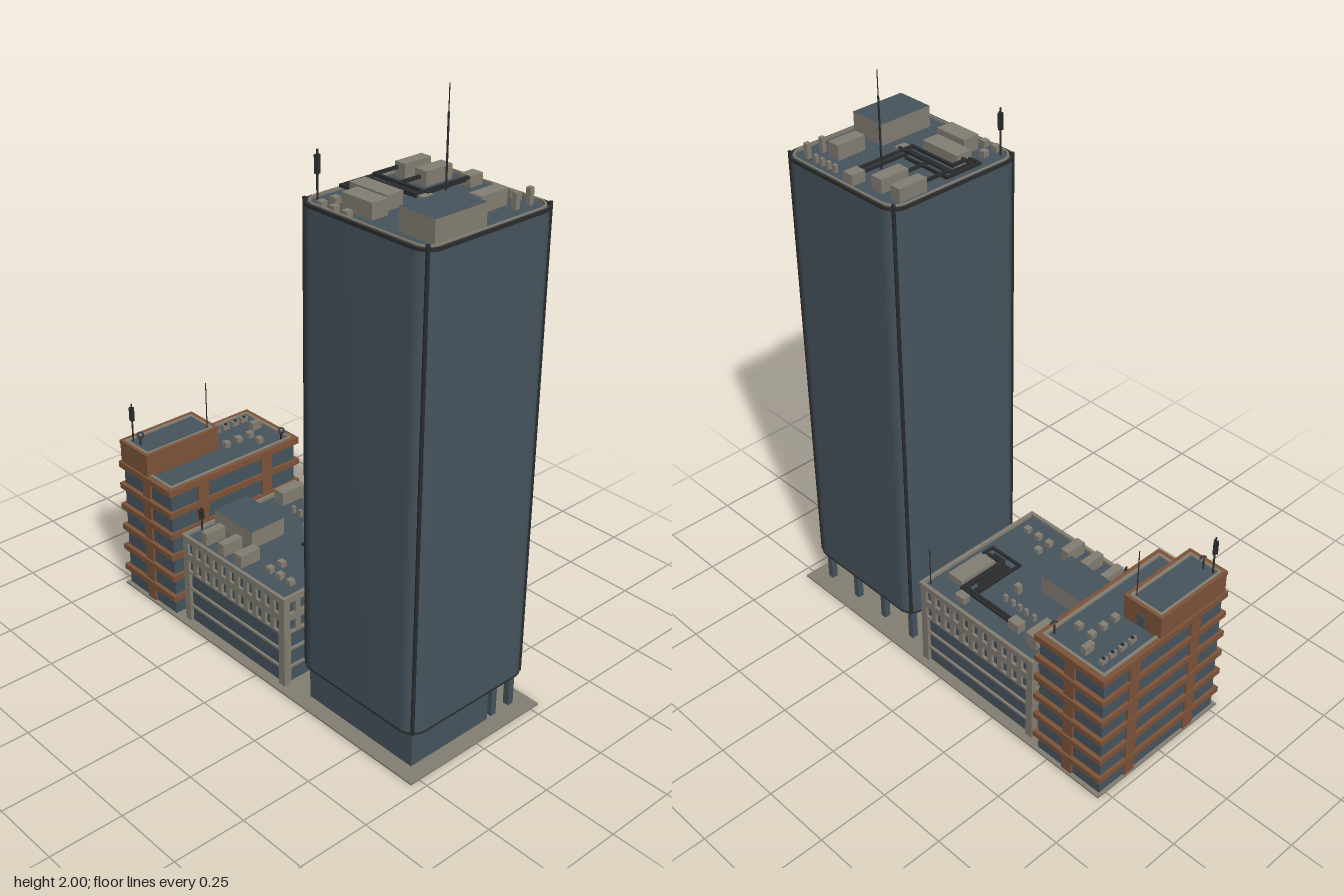
import * as THREE from 'three';
import { toCreasedNormals } from 'three/addons/utils/BufferGeometryUtils.js';

const mat = (name, color) => new THREE.MeshStandardMaterial({ name, color });

export function createModel() {
  const glass = mat('blue grey glass', 0x46545d);
  const stone = mat('grey concrete', 0x837e73);
  const brick = mat('brown brick', 0x7d5339);
  const dark = mat('dark metal', 0x2a2c2e);
  const model = new THREE.Group();
  model.name = 'cityBlock';

  const group = (name) => {
    const g = new THREE.Group();
    g.name = name;
    model.add(g);
    return g;
  };
  const add = (parent, name, geometry, material) => {
    const m = new THREE.Mesh(geometry, material);
    m.name = name;
    parent.add(m);
    return m;
  };
  // Box given by its limits; an optional second material covers the top
  const box = (parent, name, material, x0, x1, y0, y1, z0, z1, top) => {
    const mats = top ? [material, material, top, material, material, material] : material;
    const m = add(parent, name, new THREE.BoxGeometry(x1 - x0, y1 - y0, z1 - z0), mats);
    m.position.set((x0 + x1) / 2, (y0 + y1) / 2, (z0 + z1) / 2);
    return m;
  };
  const rod = (parent, name, material, r, x, y0, y1, z, sides = 8) => {
    const m = add(parent, name, new THREE.CylinderGeometry(r, r, y1 - y0, sides), material);
    m.position.set(x, (y0 + y1) / 2, z);
    return m;
  };
  // Square rim running around a roof
  const rim = (parent, name, material, x0, x1, y0, y1, z0, z1, t) => {
    box(parent, name, material, x0, x1, y0, y1, z0, z0 + t);
    box(parent, name, material, x0, x1, y0, y1, z1 - t, z1);
    box(parent, name, material, x0, x0 + t, y0, y1, z0 + t, z1 - t);
    box(parent, name, material, x1 - t, x1, y0, y1, z0 + t, z1 - t);
  };
  // Duct made of straight runs between [x, z] points
  const duct = (parent, y, points, w = 0.009) => {
    for (let i = 1; i < points.length; i++) {
      const [a, b] = points[i - 1], [c, d] = points[i], h = w / 2;
      box(parent, 'roofDuct', dark, Math.min(a, c) - h, Math.max(a, c) + h, y, y + w,
        Math.min(b, d) - h, Math.max(b, d) + h);
    }
  };
  // Roof machines: rows of [x0, x1, z0, z1, height]
  const units = (parent, y, rows) => rows.forEach(([x0, x1, z0, z1, h]) =>
    box(parent, 'roofUnit', stone, x0, x1, y, y + h, z0, z1));
  const vents = (parent, y, points, s = 0.011, h = 0.02) => points.forEach(([x, z]) =>
    box(parent, 'roofVent', stone, x - s, x + s, y, y + h, z - s, z + s));
  // Mast with a cluster of aerial panels near its tip
  const panelMast = (parent, x, y0, y1, z) => {
    rod(parent, 'aerialMast', dark, 0.003, x, y0, y1, z);
    const h = y1 - y0;
    for (let i = 0; i < 3; i++) {
      const a = i * Math.PI * 2 / 3;
      rod(parent, 'aerialPanel', dark, 0.004, x + 0.006 * Math.cos(a), y0 + h * 0.55, y0 + h * 0.9, z + 0.006 * Math.sin(a), 6);
    }
  };
  const dish = (parent, x, y, z) => {
    rod(parent, 'dishStand', dark, 0.003, x, y, y + 0.035, z);
    const d = add(parent, 'dish', new THREE.SphereGeometry(0.014, 12, 6, 0, Math.PI * 2, 0, 1.2), dark.clone());
    d.material = dishMat;
    d.position.set(x, y + 0.035, z);
    d.rotation.set(0.9, 0, 0.3);
  };
  const dishMat = mat('dish grey', 0x3a3c3e);
  dishMat.side = THREE.DoubleSide;

  // Rounded square outline
  const outline = (h, r, Type = THREE.Shape) => {
    const s = new Type();
    s.moveTo(h, -h + r);
    s.lineTo(h, h - r);
    s.absarc(h - r, h - r, r, 0, Math.PI / 2);
    s.absarc(-h + r, h - r, r, Math.PI / 2, Math.PI);
    s.absarc(-h + r, -h + r, r, Math.PI, Math.PI * 1.5);
    s.absarc(h - r, -h + r, r, Math.PI * 1.5, Math.PI * 2);
    return s;
  };
  const slab = (shape, height) => {
    const g = new THREE.ExtrudeGeometry(shape, { depth: height, bevelEnabled: false, curveSegments: 8 });
    return toCreasedNormals(g.rotateX(-Math.PI / 2), 0.5);
  };

  // Ground
  box(group('ground'), 'pavement', stone, -0.285, 0.285, 0, 0.006, -0.722, 0.718);

  // Tower
  const tower = group('tower'), tz = 0.433;
  add(tower, 'towerShaft', slab(outline(0.252, 0.055), 1.55), glass).position.set(0, 0.135, tz);
  const ring = (h, t, y, height, material) => {
    const s = outline(h, 0.055);
    s.holes.push(outline(h - t, 0.055 - t, THREE.Path));
    add(tower, 'roofRim', slab(s, height), material).position.set(0, y, tz);
  };
  ring(0.255, 0.008, 1.68, 0.01, dark);
  ring(0.246, 0.006, 1.685, 0.009, stone);
  ring(0.254, 0.01, 0.135, 0.006, dark);
  for (const sx of [-1, 1]) for (const sz of [-1, 1]) {
    rod(tower, 'cornerFin', dark, 0.006, sx * 0.237, 0.135, 1.7, tz + sz * 0.237);
  }
  // Recessed lobby, with columns carrying the open side
  box(tower, 'lobby', glass, -0.23, 0.105, 0.006, 0.135, 0.205, 0.662);
  for (const z of [0.215, 0.36, 0.505, 0.65]) box(tower, 'column', glass, 0.205, 0.227, 0.006, 0.135, z - 0.011, z + 0.011);
  for (const z of [0.215, 0.65]) box(tower, 'column', glass, 0.125, 0.147, 0.006, 0.135, z - 0.011, z + 0.011);

  const ty = 1.685;
  box(tower, 'plantRoom', stone, -0.2, -0.005, ty, 1.755, 0.525, 0.658, glass);
  units(tower, ty, [
    [-0.2, -0.14, 0.305, 0.425, 0.05], [-0.12, -0.06, 0.25, 0.4, 0.045], [0.095, 0.2, 0.21, 0.25, 0.045],
    [0.095, 0.2, 0.29, 0.335, 0.045], [0.18, 0.23, 0.385, 0.425, 0.035], [-0.03, 0.01, 0.425, 0.45, 0.03],
    [0.05, 0.155, 0.54, 0.585, 0.05],
  ]);
  vents(tower, ty, [[-0.23, 0.26], [-0.18, 0.26], [-0.23, 0.31], [-0.23, 0.36]]);
  vents(tower, ty, [[0.15, 0.62], [0.207, 0.62]], 0.008, 0.05);
  vents(tower, ty, [[0.208, 0.49], [0.208, 0.52], [0.208, 0.55], [0.208, 0.58]], 0.006, 0.025);
  duct(tower, 1.7, [[-0.11, 0.25], [-0.11, 0.207], [0.02, 0.207], [0.02, 0.385]]);
  duct(tower, 1.7, [[-0.095, 0.25], [-0.095, 0.222], [-0.015, 0.222], [-0.015, 0.405], [0.18, 0.405]]);
  duct(tower, 1.71, [[-0.08, 0.25], [-0.08, 0.237], [-0.03, 0.237], [-0.03, 0.415], [0.18, 0.415]]);
  duct(tower, 1.71, [[0.095, 0.22], [0.005, 0.22], [0.005, 0.43]]);
  duct(tower, 1.705, [[0.095, 0.31], [-0.01, 0.31], [-0.01, 0.425]]);
  panelMast(tower, -0.22, ty, 1.84, 0.23);
  rod(tower, 'tallAerial', dark, 0.003, 0.097, ty, 1.92, 0.41);
  rod(tower, 'aerialTip', dark, 0.0015, 0.097, 1.92, 2, 0.41);

  // Middle building: glass core inside a concrete frame
  const mid = group('middleBuilding'), mz = -0.145, mh = 0.26;
  box(mid, 'glassCore', glass, -mh + 0.012, mh - 0.012, 0.006, 0.335, mz - mh + 0.012, mz + mh - 0.012);
  const wall = new THREE.Shape();
  wall.moveTo(-mh, 0.2).lineTo(mh, 0.2).lineTo(mh, 0.343).lineTo(-mh, 0.343).closePath();
  for (let i = -5; i <= 5; i++) for (const y of [0.208, 0.276]) {
    const x = i * 0.0445, hole = new THREE.Path();
    hole.moveTo(x - 0.012, y).lineTo(x - 0.012, y + 0.042).lineTo(x + 0.012, y + 0.042).lineTo(x + 0.012, y).closePath();
    wall.holes.push(hole);
  }
  const wallGeometry = new THREE.ExtrudeGeometry(wall, { depth: 0.01, bevelEnabled: false }).translate(0, 0, mh - 0.01);
  for (let i = 0; i < 4; i++) {
    const side = new THREE.Group();
    side.name = 'facade';
    side.position.z = mz;
    side.rotation.y = i * Math.PI / 2;
    mid.add(side);
    add(side, 'windowWall', wallGeometry, stone);
    for (const y of [0.062, 0.13]) box(side, 'floorBand', stone, -mh, mh, y, y + 0.008, mh - 0.012, mh - 0.004);
    box(side, 'cornerPier', stone, mh - 0.028, mh, 0.006, 0.2, mh - 0.028, mh);
  }
  rim(mid, 'roofRim', stone, -0.263, 0.263, 0.336, 0.344, mz - 0.263, mz + 0.263, 0.012);

  const my = 0.335;
  box(mid, 'plantRoom', stone, -0.14, 0, my, 0.4, -0.38, -0.185, glass);
  units(mid, my, [
    [-0.24, -0.16, -0.33, -0.3, 0.045], [-0.24, -0.16, -0.24, -0.21, 0.045], [-0.24, -0.16, -0.155, -0.12, 0.045],
    [0.115, 0.21, -0.37, -0.325, 0.05], [0.165, 0.2, -0.28, -0.235, 0.035], [0.025, 0.175, 0.005, 0.07, 0.025],
    [0.2, 0.23, -0.06, -0.02, 0.025],
  ]);
  vents(mid, my, [[-0.18, -0.045], [-0.13, -0.045], [-0.18, 0.005], [-0.18, 0.055]]);
  vents(mid, my, [[0.117, -0.27], [0.117, -0.235], [0.117, -0.205], [0.117, -0.175], [0.117, -0.14]], 0.006, 0.025);
  vents(mid, my, [[0.06, -0.14]], 0.01, 0.035);
  duct(mid, 0.35, [[0.19, -0.235], [0.19, -0.01], [0.0, -0.01], [0.0, 0.03], [0.025, 0.03]]);
  duct(mid, 0.35, [[0.178, -0.235], [0.178, -0.02], [0.012, -0.02], [0.012, 0.045], [0.025, 0.045]]);
  duct(mid, 0.355, [[0.165, -0.068], [-0.017, -0.068], [-0.017, 0.06], [0.025, 0.06]]);
  duct(mid, 0.355, [[0.165, -0.054], [0.02, -0.054], [0.02, -0.04], [0.14, -0.04]]);
  panelMast(mid, -0.2, my, 0.435, -0.375);
  rod(mid, 'thinAerial', dark, 0.0018, 0.235, my, 0.48, 0.092, 6);

  // Rear building: glass body with brick floor bands and piers
  const rear = group('rearBuilding'), rz0 = -0.715, rz1 = -0.442;
  box(rear, 'glassBody', glass, -0.27, 0.27, 0.006, 0.495, rz0 + 0.004, rz1 - 0.004);
  for (let i = 0; i < 6; i++) {
    const y = 0.062 + i * 0.083;
    if (i < 5) box(rear, 'floorBand', brick, -0.285, 0.285, y, y + 0.021, -0.722, -0.435);
    else {
      rim(rear, 'roofBand', brick, -0.285, 0.285, y, 0.5, -0.722, -0.435, 0.018);
      rim(rear, 'roofRim', stone, -0.267, 0.267, 0.49, 0.503, -0.706, -0.451, 0.01);
    }
  }
  for (const s of [-1, 1]) {
    box(rear, 'sidePier', brick, s * 0.272 - 0.006, s * 0.272 + 0.006, 0.006, 0.49, -0.597, -0.556);
    for (const z of [rz0, rz1]) box(rear, 'facePier', brick, s * 0.14 - 0.022, s * 0.14 + 0.022, 0.006, 0.49, z - 0.004, z + 0.004);
  }
  box(rear, 'penthouse', brick, -0.278, 0.028, 0.49, 0.577, -0.715, -0.565, glass);
  rim(rear, 'penthouseRim', brick, -0.28, 0.03, 0.57, 0.583, -0.717, -0.563, 0.012);
  rim(rear, 'penthouseTrim', stone, -0.268, 0.018, 0.57, 0.582, -0.705, -0.575, 0.01);
  box(rear, 'penthouseDoor', glass, 0.024, 0.031, 0.5, 0.545, -0.65, -0.62);

  const ry = 0.495;
  for (const x of [0.095, 0.138, 0.182, 0.222]) {
    box(rear, 'fanUnit', stone, x - 0.014, x + 0.014, ry, ry + 0.018, -0.668, -0.655);
    rod(rear, 'fan', dark, 0.006, x, ry + 0.018, ry + 0.022, -0.661);
  }
  units(rear, ry, [[0.2, 0.24, -0.605, -0.585, 0.03]]);
  vents(rear, ry, [[0.06, -0.56], [0.113, -0.56], [0.165, -0.56], [0.165, -0.508]]);
  dish(rear, 0.235, ry, -0.472);
  dish(rear, -0.24, 0.577, -0.65);
  panelMast(rear, -0.245, 0.577, 0.72, -0.685);
  rod(rear, 'thinAerial', dark, 0.0018, 0, 0.577, 0.752, -0.59, 6);

  return model;
}
